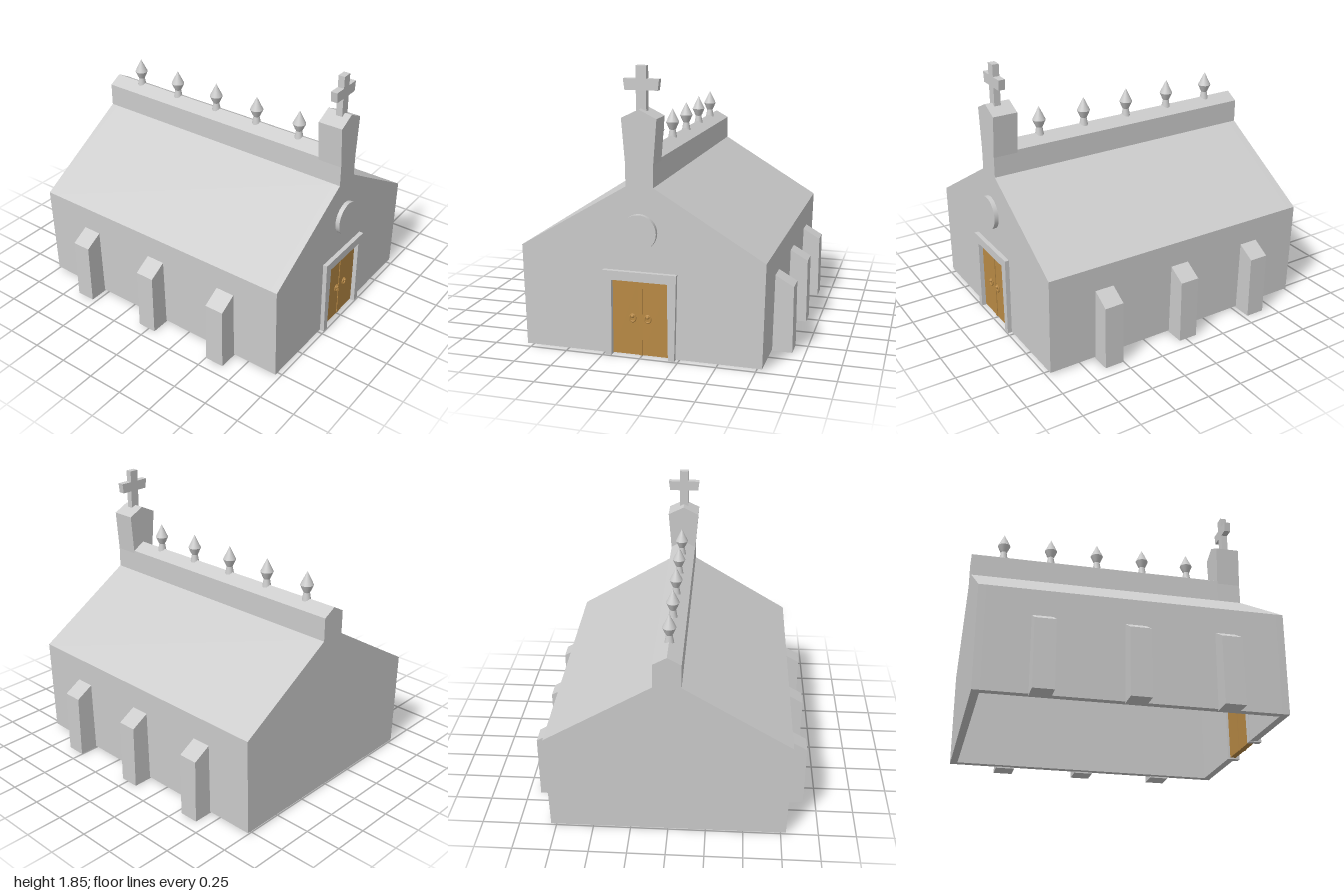
import * as THREE from 'three';
import { toCreasedNormals } from 'three/addons/utils/BufferGeometryUtils.js';

const grey = new THREE.MeshStandardMaterial({ color: 0xcccccc });
const wood = new THREE.MeshStandardMaterial({ color: 0xb98a45 });

function add(parent, name, geometry, material = grey) {
  const mesh = new THREE.Mesh(geometry, material);
  mesh.name = name;
  parent.add(mesh);
  return mesh;
}

// Extrude an xy outline from z0 to z1
function slab(points, z0, z1) {
  const shape = new THREE.Shape(points.map(([x, y]) => new THREE.Vector2(x, y)));
  const g = new THREE.ExtrudeGeometry(shape, { depth: z1 - z0, bevelEnabled: false });
  return g.translate(0, 0, z0);
}

// Close a right-hand half outline with its mirror image
const mirrored = (half) => [
  ...half,
  ...half.slice().reverse().filter(([x]) => x !== 0).map(([x, y]) => [-x, y]),
];

export function createModel() {
  const church = new THREE.Group();
  church.name = 'church';

  // Walls and roof: hollow underneath, with a flat ceiling
  const gable = [[0.785, 0.01], [0.8, 0.685], [0.09, 1.11]];
  const doorway = [[0, 0.5], [0.2, 0.5], [0.2, 0.01]];
  add(church, 'nave', slab(mirrored([[0, 0.63], [0.745, 0.63], [0.735, 0.01], ...gable]), -0.95, 0.92));
  add(church, 'backWall', slab(mirrored(gable), -1, -0.95));
  add(church, 'frontWall', slab(mirrored([...doorway, ...gable]), 0.92, 0.97));

  // Raised ridge along the roof
  add(church, 'roofRidge', slab(mirrored([[0.09, 1.1], [0.09, 1.27], [0, 1.32]]), -1, 0.8));

  // Flared bell tower
  add(church, 'tower', slab(mirrored([[0.09, 1.1], [0.09, 1.25], [0.113, 1.535], [0, 1.59]]), 0.8, 0.97));

  // Cross
  add(church, 'cross', slab(mirrored([
    [0.033, 1.57], [0.033, 1.7], [0.106, 1.7], [0.115, 1.77], [0.033, 1.77], [0.033, 1.85],
  ]), 0.875, 0.92));

  // Finials on the ridge
  const finialProfile = [[0, 0], [0.031, 0], [0.021, 0.055], [0.029, 0.07], [0.045, 0.107], [0, 0.2]]
    .map(([r, y]) => new THREE.Vector2(r, y));
  const finialGeo = toCreasedNormals(new THREE.LatheGeometry(finialProfile, 16), 0.45);
  for (let i = 0; i < 5; i++) {
    add(church, 'finial', finialGeo).position.set(0, 1.303, 0.59 - i * 0.341);
  }

  // Buttresses on both sides
  const outline = [[0.775, 0], [0.917, 0], [0.917, 0.445], [0.795, 0.515]];
  for (const z of [0.57, -0.016, -0.6]) {
    add(church, 'leftButtress', slab(outline, z - 0.067, z + 0.067));
    add(church, 'rightButtress', slab(outline.map(([x, y]) => [-x, y]).reverse(), z - 0.067, z + 0.067));
  }

  // Round plaque above the door
  const plaque = add(church, 'roundPlaque', new THREE.CylinderGeometry(0.114, 0.114, 0.04, 40).rotateX(Math.PI / 2));
  plaque.position.set(0, 0.827, 0.98);

  // Door frame
  add(church, 'doorFrame', slab(mirrored([
    [0, 0.51], [0.183, 0.51], [0.188, 0.005], [0.229, 0.005], [0.242, 0.57],
  ]), 0.915, 1));

  // Double doors with centre strip and ring handles
  const doors = new THREE.Group();
  doors.name = 'doors';
  church.add(doors);
  add(doors, 'centreStrip', new THREE.BoxGeometry(0.026, 0.495, 0.04), wood).position.set(0, 0.262, 0.955);
  for (const s of [-1, 1]) {
    add(doors, 'doorLeaf', new THREE.BoxGeometry(0.173, 0.495, 0.04), wood).position.set(s * 0.0985, 0.262, 0.95);
    const ring = add(doors, 'handleRing', new THREE.TorusGeometry(0.02, 0.005, 8, 20), wood);
    ring.position.set(s * 0.05, 0.262, 0.978);
    ring.scale.y = 1.2;
    add(doors, 'handleKnob', new THREE.SphereGeometry(0.012, 12, 8), wood).position.set(s * 0.05, 0.275, 0.982);
  }

  return church;
}
